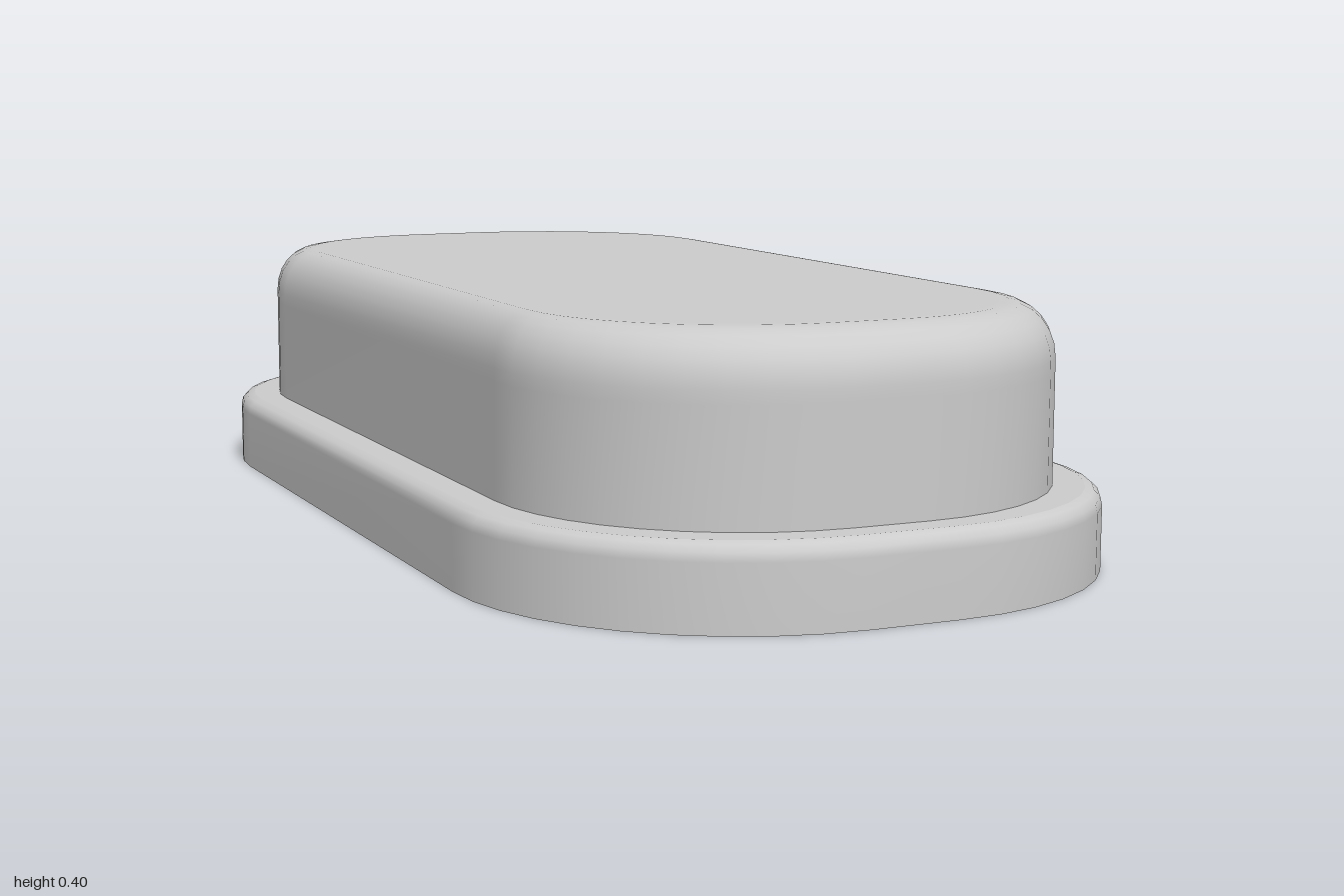
import * as THREE from 'three';

const CORNER_STEPS = 10;

// Rounded-rectangle outline with half width a, half length b and corner radius r
function outline(a, b, r) {
  const points = [];
  const centres = [[1, 1], [-1, 1], [-1, -1], [1, -1]];
  centres.forEach(([sx, sz], q) => {
    for (let i = 0; i <= CORNER_STEPS; i++) {
      const t = (q + i / CORNER_STEPS) * Math.PI / 2;
      points.push([sx * (a - r) + r * Math.cos(t), sz * (b - r) + r * Math.sin(t)]);
    }
  });
  return points;
}

// Skin through stacked outlines [halfWidth, halfLength, radius, y], open or capped on top
function loft(name, sections, material, capped = false) {
  const position = [], index = [];
  const n = 4 * (CORNER_STEPS + 1);
  for (const [a, b, r, y] of sections) {
    for (const [x, z] of outline(a, b, r)) position.push(x, y, z);
  }
  for (let s = 0; s < sections.length - 1; s++) {
    for (let i = 0; i < n; i++) {
      const j = (i + 1) % n;
      const p = s * n + i, q = s * n + j;
      index.push(p, p + n, q, q, p + n, q + n);
    }
  }
  if (capped) {
    const last = (sections.length - 1) * n;
    const centre = position.length / 3;
    position.push(0, sections[sections.length - 1][3], 0);
    for (let i = 0; i < n; i++) index.push(last + i, centre, last + (i + 1) % n);
  }
  const geometry = new THREE.BufferGeometry();
  geometry.setAttribute('position', new THREE.Float32BufferAttribute(position, 3));
  geometry.setIndex(index);
  geometry.computeVertexNormals();
  const mesh = new THREE.Mesh(geometry, material);
  mesh.name = name;
  return mesh;
}

export function createModel() {
  const group = new THREE.Group();
  group.name = 'hollowCover';
  const material = new THREE.MeshStandardMaterial({ color: 0xcccccc, side: THREE.DoubleSide });

  // Wide base rim with a small rounded shoulder
  group.add(loft('rimWall', [
    [0.51, 1, 0.44, 0],
    [0.51, 1, 0.44, 0.1],
    [0.507, 0.997, 0.437, 0.113],
    [0.498, 0.988, 0.428, 0.122],
    [0.485, 0.975, 0.415, 0.126],
  ], material));

  // Flat ledge between the rim and the raised body
  group.add(loft('ledge', [
    [0.485, 0.975, 0.415, 0.126],
    [0.44, 0.93, 0.38, 0.126],
  ], material));

  // Raised body: straight wall, rounded top edge, flat top
  const sections = [[0.44, 0.93, 0.38, 0.126], [0.44, 0.93, 0.38, 0.3]];
  const steps = 6;
  for (let i = 0; i <= steps; i++) {
    const t = (i / steps) * Math.PI / 2;
    const k = 1 - Math.cos(t);
    sections.push([0.44 - 0.06 * k, 0.93 - 0.08 * k, 0.38 - 0.06 * k, 0.32 + 0.08 * Math.sin(t)]);
  }
  sections.push([0.36, 0.83, 0.3, 0.4]);
  group.add(loft('raisedBody', sections, material, true));

  return group;
}
